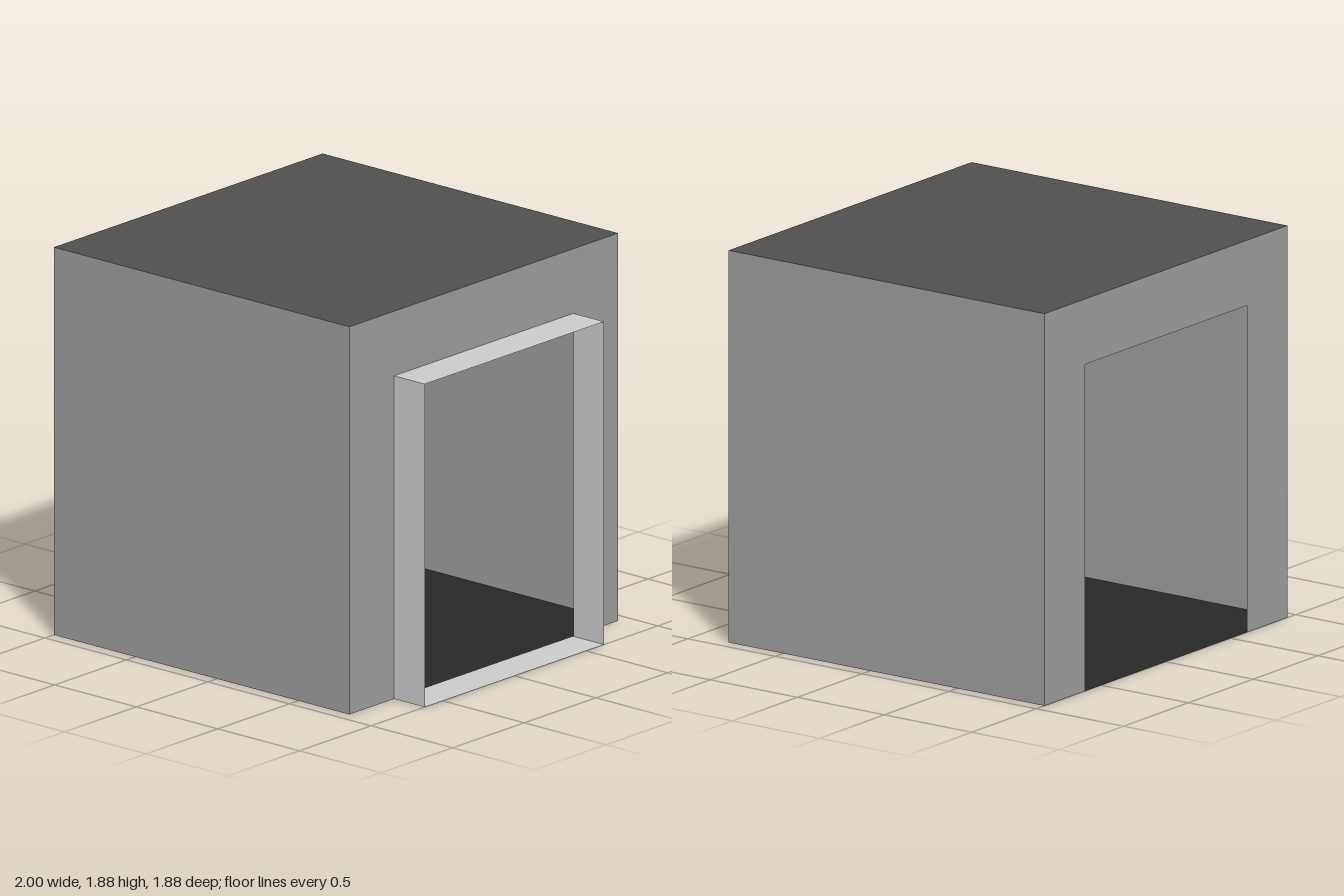
import * as THREE from 'three';

const U = 0.3125;                        // module unit
const X0 = -1, X1 = 0.8125, X2 = 1;      // end wall, end wall, collar mouth
const HALF = 3 * U, HEIGHT = 6 * U;      // shell
const DOOR = 2 * U, DOOR_H = 5 * U;      // doorway

const sheet = (color) => new THREE.MeshStandardMaterial({ color, side: THREE.DoubleSide });

export function createModel() {
  const model = new THREE.Group();
  const wallMat = sheet(0x9d9d9d);
  const roofMat = sheet(0x505050);
  const floorMat = sheet(0x282828);
  const collarMat = sheet(0xcccccc);

  const add = (parent, name, geometry, material) => {
    const mesh = new THREE.Mesh(geometry, material);
    mesh.name = name;
    parent.add(mesh);
    return mesh;
  };

  // Horizontal sheet facing up or down
  const level = (parent, name, xa, xb, depth, y, up, mat) =>
    add(parent, name, new THREE.PlaneGeometry(xb - xa, depth)
      .rotateX(up ? -Math.PI / 2 : Math.PI / 2)
      .translate((xa + xb) / 2, y, 0), mat);

  // Upright sheet facing +z (side 1) or -z (side -1)
  const upright = (parent, name, xa, xb, height, z, side, mat) =>
    add(parent, name, new THREE.PlaneGeometry(xb - xa, height)
      .rotateY(side > 0 ? 0 : Math.PI)
      .translate((xa + xb) / 2, height / 2, z), mat);

  // Hollow shell: floor, roof and the two long walls
  const shell = new THREE.Group();
  shell.name = 'shell';
  model.add(shell);
  level(shell, 'floor', X0, X1, 2 * HALF, 0, false, floorMat);
  level(shell, 'roof', X0, X1, 2 * HALF, HEIGHT, true, roofMat);
  upright(shell, 'frontWall', X0, X1, HEIGHT, HALF, 1, wallMat);
  upright(shell, 'backWall', X0, X1, HEIGHT, -HALF, -1, wallMat);

  // End walls with a doorway reaching the floor
  const arch = new THREE.Shape([
    [-HALF, 0], [-DOOR, 0], [-DOOR, DOOR_H], [DOOR, DOOR_H],
    [DOOR, 0], [HALF, 0], [HALF, HEIGHT], [-HALF, HEIGHT],
  ].map(([x, y]) => new THREE.Vector2(x, y)));
  for (const [name, x, side] of [['leftEndWall', X1, 1], ['rightEndWall', X0, -1]]) {
    add(shell, name, new THREE.ShapeGeometry(arch)
      .rotateY(side * Math.PI / 2).translate(x, 0, 0), wallMat);
  }

  // Thin open collar projecting from one doorway
  const collar = new THREE.Group();
  collar.name = 'doorCollar';
  model.add(collar);
  level(collar, 'collarSill', X1, X2, 2 * DOOR, 0, false, collarMat);
  level(collar, 'collarTop', X1, X2, 2 * DOOR, DOOR_H, true, collarMat);
  for (const side of [1, -1]) {
    upright(collar, side > 0 ? 'collarFront' : 'collarBack', X1, X2, DOOR_H, side * DOOR, side, collarMat);
  }

  return model;
}
